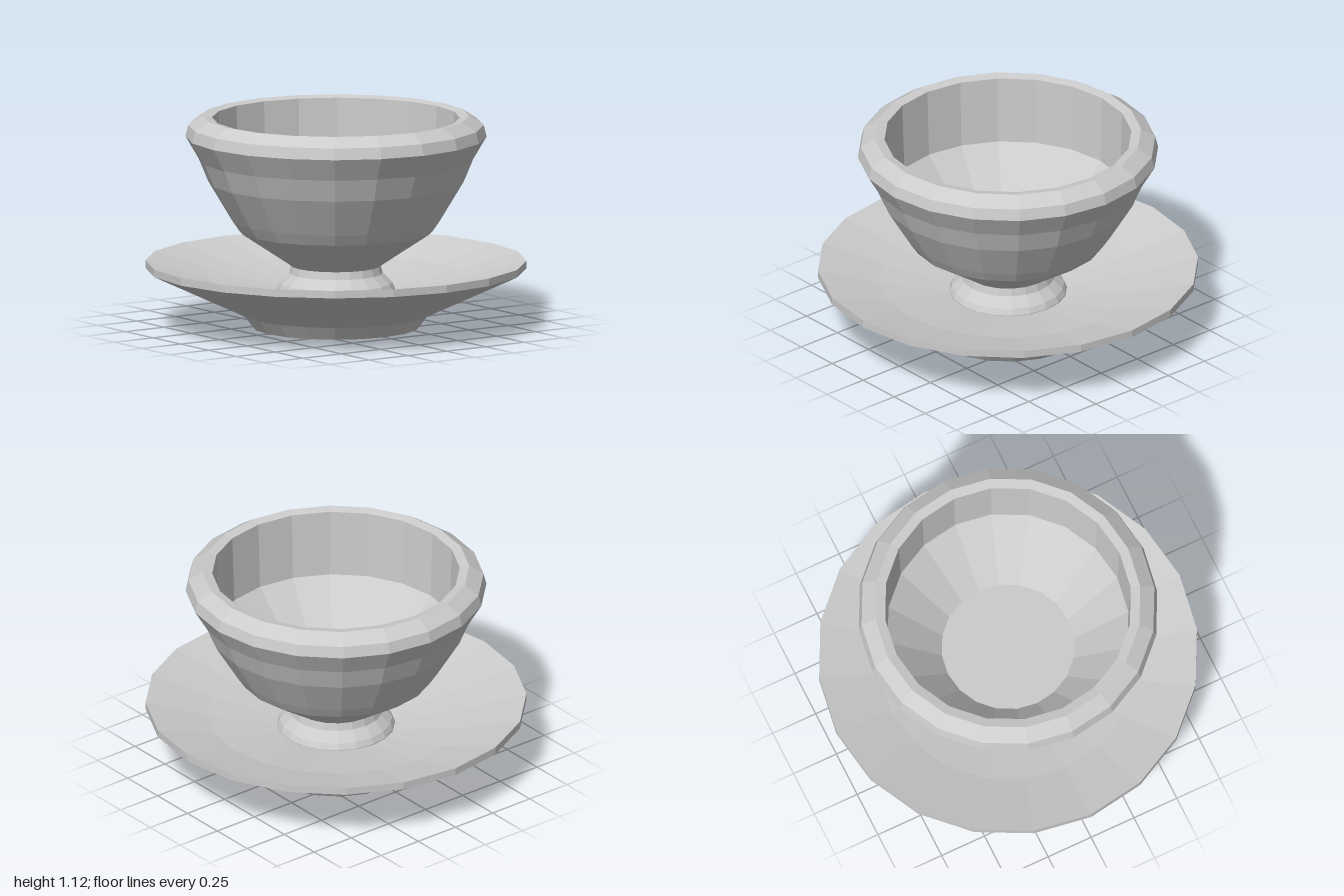
import * as THREE from 'three';

const SIDES = 20;

// Faceted solid of revolution from [radius, height] points, bottom axis to top axis
function turned(name, profile) {
  const points = profile.map(([r, y]) => new THREE.Vector2(r, y));
  const geometry = new THREE.LatheGeometry(points, SIDES).toNonIndexed();
  geometry.computeVertexNormals();
  const material = new THREE.MeshStandardMaterial({ color: 0xcccccc, flatShading: true });
  const mesh = new THREE.Mesh(geometry, material);
  mesh.name = name;
  return mesh;
}

export function createModel() {
  const model = new THREE.Group();
  model.name = 'cupAndSaucer';

  // Saucer: recessed base, foot ring, flared underside, thin rim, shallow dish
  model.add(turned('saucer', [
    [0, 0.05], [0.385, 0.05], [0.39, 0],
    [0.44, 0], [0.49, 0.07],
    [1, 0.31], [1, 0.35],
    [0.68, 0.265], [0.31, 0.2], [0, 0.2],
  ]));

  // Cup: flared foot and neck, rounded bowl, bevelled lip, hollow inside
  model.add(turned('cup', [
    [0, 0.19], [0.31, 0.19], [0.31, 0.205], [0.295, 0.235], [0.245, 0.285],
    [0.235, 0.325], [0.27, 0.35],
    [0.51, 0.51], [0.55, 0.57], [0.67, 0.77], [0.72, 0.89],
    [0.79, 1.01], [0.775, 1.07], [0.7, 1.12],
    [0.65, 1.11], [0.637, 0.745], [0.35, 0.45], [0, 0.45],
  ]));

  return model;
}
